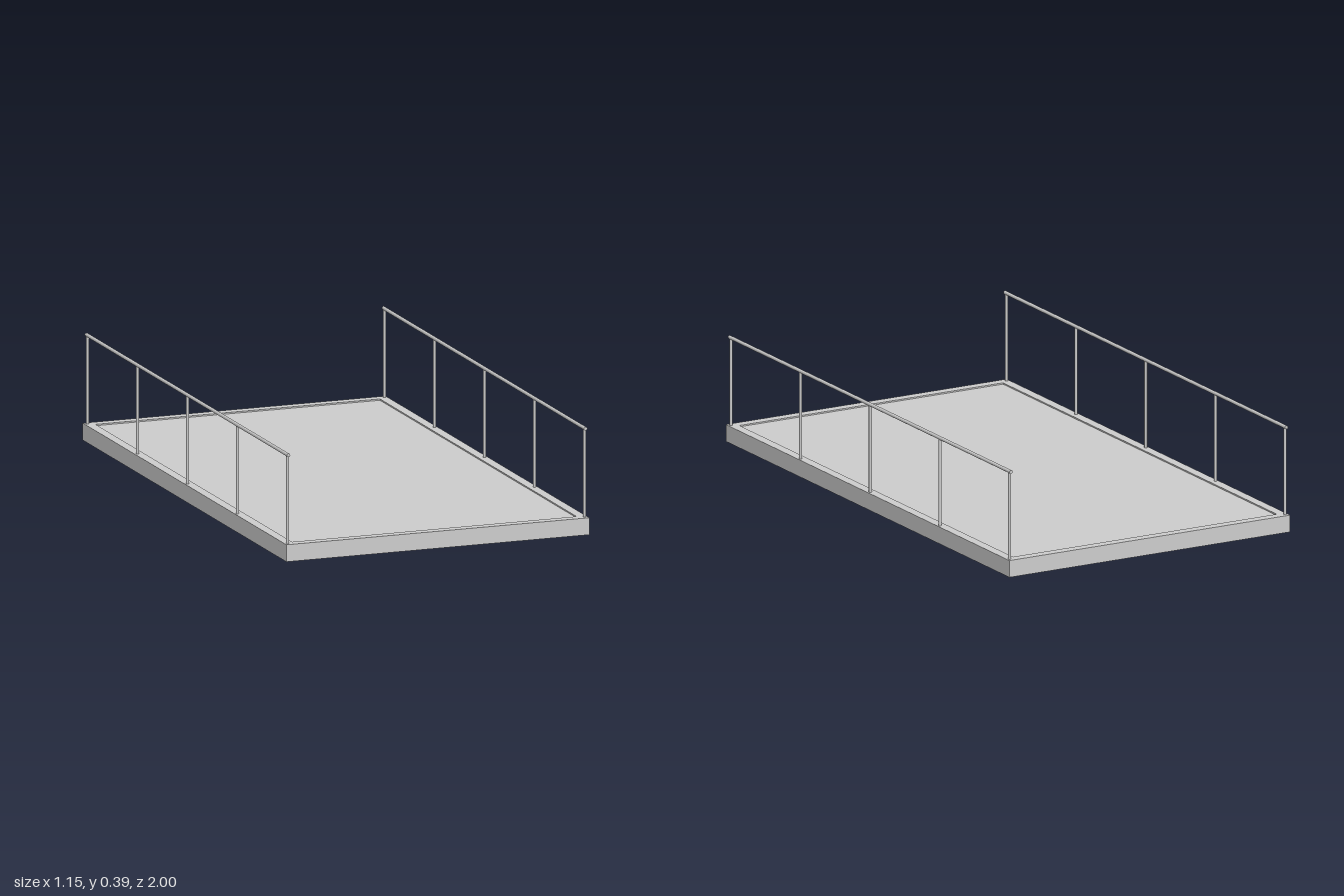
import * as THREE from 'three';

const WIDTH = 1.15, LENGTH = 2, HEIGHT = 0.062, RIM = 0.035;

export function createModel() {
  const group = new THREE.Group();
  const material = new THREE.MeshStandardMaterial({ color: 0xcccccc });

  function add(name, geometry, x, y, z) {
    const mesh = new THREE.Mesh(geometry, material);
    mesh.name = name;
    mesh.position.set(x, y, z);
    group.add(mesh);
    return mesh;
  }

  function rectangle(PathType, w, l) {
    return new PathType([[-w, -l], [w, -l], [w, l], [-w, l]]
      .map(([x, y]) => new THREE.Vector2(x / 2, y / 2)));
  }

  // Rectangular border frame, open above and below
  const outline = rectangle(THREE.Shape, WIDTH, LENGTH);
  outline.holes.push(rectangle(THREE.Path, WIDTH - 2 * RIM, LENGTH - 2 * RIM));
  const frame = new THREE.ExtrudeGeometry(outline, { depth: HEIGHT, bevelEnabled: false });
  frame.rotateX(-Math.PI / 2);
  add('frame', frame, 0, 0, 0);

  // Thin deck plate set just below the top of the frame
  add('deck', new THREE.BoxGeometry(WIDTH - 2 * RIM, 0.012, LENGTH - 2 * RIM), 0, 0.051, 0);

  // A railing along each long side: five posts and a round handrail
  const post = new THREE.CylinderGeometry(0.0055, 0.0055, 0.325, 16);
  const rail = new THREE.CylinderGeometry(0.0065, 0.0065, 1.985, 16);
  rail.rotateX(Math.PI / 2);
  for (const [side, sign] of [['left', 1], ['right', -1]]) {
    const x = sign * 0.564;
    for (let i = -2; i <= 2; i++) add(side + 'Post', post, x, 0.06 + 0.325 / 2, i * 0.491);
    add(side + 'Handrail', rail, x, 0.385, 0);
  }
  return group;
}
